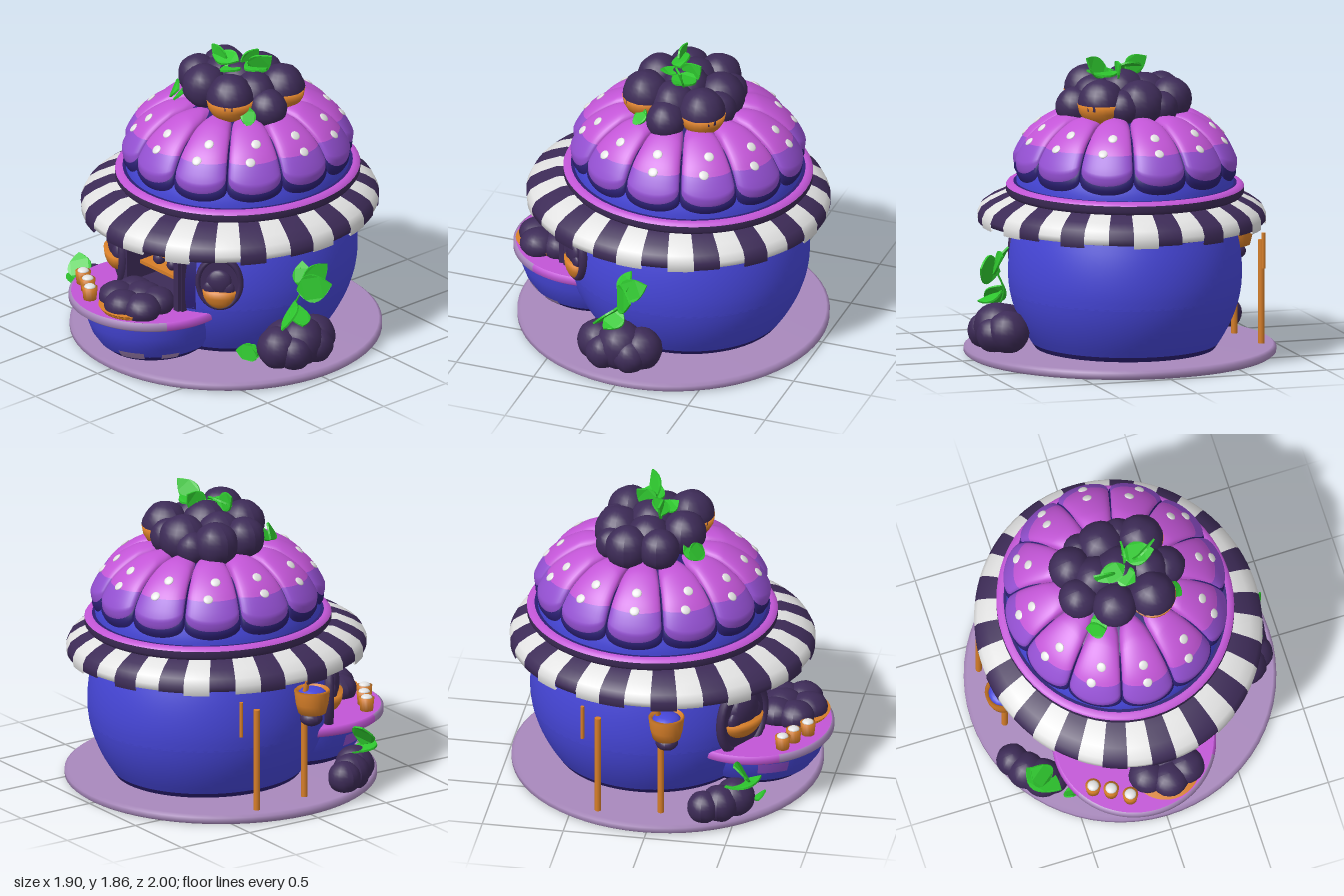
import * as THREE from 'three';

const mat = (name, color) => {
  const m = new THREE.MeshStandardMaterial({ color, side: THREE.DoubleSide });
  m.name = name;
  return m;
};
const blue = mat('blue', 0x4646d8), navy = mat('navy', 0x2b1f72), dark = mat('darkPlum', 0x3d2b57);
const lilac = mat('lilac', 0xa888bc), violet = mat('violet', 0x9450d2), magenta = mat('magenta', 0xc255d6);
const white = mat('white', 0xe2e2e2), orange = mat('orange', 0xd67e28), green = mat('green', 0x2ec62e);

const V = (x, y, z) => new THREE.Vector3(x, y, z);
const TAU = Math.PI * 2;

function add(parent, name, geo, material, x = 0, y = 0, z = 0) {
  const m = new THREE.Mesh(geo, material);
  m.name = name;
  m.position.set(x, y, z);
  parent.add(m);
  return m;
}
function group(parent, name, x = 0, y = 0, z = 0) {
  const g = new THREE.Group();
  g.name = name;
  g.position.set(x, y, z);
  parent.add(g);
  return g;
}
const lathe = (pts, seg = 64, start = 0, len = TAU) =>
  new THREE.LatheGeometry(pts.map(p => new THREE.Vector2(p[0], p[1])), seg, start, len);
const box = (p, name, m, w, h, d, x, y, z) => add(p, name, new THREE.BoxGeometry(w, h, d), m, x, y, z);

// Lumpy ball
function berry(parent, x, y, z, r, sy = 1) {
  const g = new THREE.SphereGeometry(r, 20, 14), p = g.attributes.position, v = V();
  for (let i = 0; i < p.count; i++) {
    v.fromBufferAttribute(p, i);
    const k = 1 + 0.04 * Math.sin(v.x / r * 5 + x * 9) * Math.cos(v.y / r * 5) * Math.cos(v.z / r * 5);
    p.setXYZ(i, v.x * k, v.y * k * sy, v.z * k);
  }
  g.computeVertexNormals();
  return add(parent, 'berry', g, dark, x, y, z);
}
// Round orange half bowl, closed on top
const bowl = (parent, x, y, z, r, h) =>
  add(parent, 'bowl', lathe([0, 0.3, 0.6, 0.9, 1.2, 1.57].map(a => [r * Math.sin(a), -h * Math.cos(a)]).concat([[0, 0]]), 24), orange, x, y, z);

// Pointed leaf folded along its middle, from base to tip
function leaf(parent, base, tip, width, roll = 0) {
  const dir = tip.clone().sub(base), len = dir.length();
  const s = new THREE.Shape();
  s.moveTo(0, 0);
  s.quadraticCurveTo(width * 1.2, len * 0.4, 0, len);
  s.quadraticCurveTo(-width * 1.2, len * 0.4, 0, 0);
  const g = new THREE.ExtrudeGeometry(s, { depth: 0.012, bevelEnabled: false, curveSegments: 8 });
  const p = g.attributes.position;
  for (let i = 0; i < p.count; i++)
    p.setZ(i, p.getZ(i) + Math.abs(p.getX(i)) * 0.5 - Math.sin(p.getY(i) / len * Math.PI) * len * 0.1);
  g.rotateY(roll);
  g.computeVertexNormals();
  add(parent, 'leaf', g, green, base.x, base.y, base.z).quaternion.setFromUnitVectors(V(0, 1, 0), dir.normalize());
}

// Round wall radius at height y
const wallR = y => y < 0.52 ? 0.745 - 0.17 * ((0.52 - y) / 0.46) ** 2 : 0.745 - 0.045 * ((y - 0.52) / 0.29) ** 2;
function wall(parent, name, m, y0, y1, start = 0, len = TAU) {
  const pts = [];
  for (let i = 0; i <= 8; i++) { const y = y0 + (y1 - y0) * i / 8; pts.push([wallR(y), y]); }
  add(parent, name, lathe(pts, 64, start, len), m);
}

// Dome profile, from rim to crown
const dome = new THREE.SplineCurve([[0.70, 1.05], [0.69, 1.13], [0.645, 1.25], [0.56, 1.36], [0.41, 1.45], [0.2, 1.51], [0, 1.53]]
  .map(p => new THREE.Vector2(...p)));
function domePoint(s, offset) {
  const p = dome.getPoint(s), t = dome.getTangent(s);
  return [p.x + t.y * offset, p.y - t.x * offset];
}
// Puffed icing petal with rounded ends, between fractions t0 and t1 of its length
function petal(s0, s1, puff, width, t0, t1) {
  const nu = 18, nv = 16, pos = [], idx = [];
  for (let j = 0; j <= nv; j++) for (let i = 0; i <= nu; i++) {
    const e = Math.sin((i / nu - 0.5) * Math.PI), round = Math.sqrt(Math.max(0, 1 - e * e));
    const t = t0 + (t1 - t0) * j / nv;
    const start = s0 + (1 - round) * 0.12, end = s1 - (1 - round) * 0.1;
    const lift = Math.sqrt(round) * Math.min(1, Math.sqrt(t * 7)) * Math.min(1, Math.sqrt((1 - t) * 5));
    const [r, y] = domePoint(start + (end - start) * t, 0.004 + puff * lift);
    const a = e * width * Math.PI / 12;
    pos.push(Math.sin(a) * r, y, Math.cos(a) * r);
    if (i < nu && j < nv) {
      const k = j * (nu + 1) + i;
      idx.push(k, k + 1, k + nu + 1, k + 1, k + nu + 2, k + nu + 1);
    }
  }
  const g = new THREE.BufferGeometry();
  g.setAttribute('position', new THREE.Float32BufferAttribute(pos, 3));
  g.setIndex(idx);
  g.computeVertexNormals();
  return g;
}

// Oval window with a bowl of berries, set on the wall at an angle
function ovalWindow(parent, name, phi, y, w, h) {
  const r = wallR(y);
  const g = group(parent, name, Math.sin(phi) * r * 0.95, y, -0.13 + Math.cos(phi) * r);
  g.rotation.y = phi;
  add(g, 'windowFrame', new THREE.TorusGeometry(0.9, 0.12, 10, 36), dark).scale.set(w / 2, h / 2, 0.25);
  add(g, 'windowPanel', new THREE.CircleGeometry(0.9, 32), dark, 0, 0, 0.012).scale.set(w / 2, h / 2, 1);
  const b = w * 0.36, top = 0.55 - y;
  bowl(g, 0, top, 0.012, b, 0.12).scale.z = 0.5;
  berry(g, 0, top + 0.06, 0.015, b * 0.75).scale.z = 0.45;
  for (const s of [-1, 1]) berry(g, s * b * 0.5, top + 0.02, 0.02, b * 0.42).scale.z = 0.5;
}

export function createModel() {
  const root = new THREE.Group();
  root.name = 'berryStall';

  // Ground plate
  add(root, 'basePlate', lathe([[0, 0], [0.93, 0], [0.95, 0.015], [0.95, 0.045], [0.93, 0.06], [0, 0.06]]), lilac, 0, 0, -0.035);

  // Wall with a serving hatch gap and dark strips beside it
  const body = group(root, 'body', 0, 0, -0.13);
  body.scale.x = 0.95;
  wall(body, 'wallFoot', navy, 0.06, 0.09);
  wall(body, 'lowerWall', blue, 0.09, 0.41);
  wall(body, 'middleWall', blue, 0.4, 0.8, 0.52, TAU - 1.0);
  wall(body, 'hatchSideStrip', navy, 0.4, 0.8, 0.4, 0.12);
  wall(body, 'hatchSideStrip', navy, 0.4, 0.8, -0.48, 0.19);
  wall(body, 'upperWall', navy, 0.8, 1.0);

  // Hatch recess, frame, shelves and goods
  const hatch = group(root, 'servingHatch', 0.03, 0, 0);
  box(hatch, 'backPanel', dark, 0.5, 0.46, 0.02, 0, 0.6, 0.3);
  for (const s of [-1, 1]) {
    box(hatch, 'sidePanel', dark, 0.02, 0.46, 0.28, s * 0.25, 0.6, 0.43);
    box(hatch, 'framePost', dark, 0.04, 0.44, 0.06, s * 0.235, 0.61, 0.57);
  }
  box(hatch, 'hatchFloor', dark, 0.5, 0.02, 0.28, 0, 0.4, 0.43);
  box(hatch, 'hatchCeiling', dark, 0.5, 0.02, 0.28, 0, 0.82, 0.43);
  box(hatch, 'frameTop', dark, 0.5, 0.05, 0.06, 0, 0.81, 0.57);
  box(hatch, 'shelf', orange, 0.42, 0.022, 0.12, 0, 0.535, 0.44);
  box(hatch, 'shelf', orange, 0.42, 0.022, 0.12, 0, 0.645, 0.44);
  box(hatch, 'shelfPost', orange, 0.025, 0.13, 0.12, 0.2, 0.59, 0.44);
  for (const [x, y] of [[0.07, 0.7], [-0.08, 0.69]]) {
    bowl(hatch, x, y, 0.44, 0.045, 0.045);
    berry(hatch, x, y + 0.01, 0.44, 0.036);
  }
  berry(hatch, -0.1, 0.58, 0.44, 0.04);
  berry(hatch, 0.02, 0.575, 0.44, 0.035);
  add(hatch, 'jar', new THREE.SphereGeometry(0.03, 12, 8), lilac, 0.16, 0.68, 0.44);
  leaf(hatch, V(-0.04, 0.75, 0.6), V(-0.11, 0.79, 0.61), 0.07);
  leaf(hatch, V(-0.04, 0.75, 0.6), V(0.04, 0.79, 0.61), 0.07);

  ovalWindow(root, 'largeWindow', -0.575, 0.56, 0.43, 0.52);
  ovalWindow(root, 'smallWindow', 0.726, 0.6, 0.29, 0.36);

  // Counter, its rim lilac in front and magenta at the ends
  const counter = group(root, 'counter', -0.08, 0, 0.5);
  add(counter, 'counterFoot', lathe([[0.31, 0.06], [0.36, 0.1]]), navy, 0.05).scale.x = 0.9;
  add(counter, 'counterBowl', lathe([[0.36, 0.1], [0.41, 0.17], [0.44, 0.25], [0.45, 0.32]]), blue, 0.05).scale.x = 0.9;
  // Thin painted patches on the counter bowl
  for (const [m, phi, len, pts] of [
    [lilac, 0.25, 0.45, [[0.35, 0.085], [0.366, 0.1], [0.395, 0.14]]],
    [lilac, 1.0, 0.3, [[0.35, 0.085], [0.366, 0.1], [0.385, 0.125]]],
    [violet, -1.35, 0.45, [[0.417, 0.175], [0.432, 0.21], [0.446, 0.25]]]])
    add(counter, 'bowlPatch', lathe(pts, 12, phi, len), m, 0.05).scale.x = 0.9;
  const rim = [[0, 0.32], [0.48, 0.32], [0.5, 0.335], [0.5, 0.37], [0.485, 0.38]];
  add(counter, 'rimFront', lathe(rim, 32, -1.05, 2.1), lilac);
  add(counter, 'rimEnds', lathe(rim, 48, 1.05, TAU - 2.1), magenta);
  add(counter, 'counterTop', lathe([[0.485, 0.38], [0, 0.385]]), magenta);
  const tray = group(root, 'berryTray', 0.04, 0, 0.75);
  add(tray, 'trayBowl', lathe([[0, 0.38], [0.19, 0.38], [0.21, 0.408], [0, 0.408]], 32), orange);
  for (const [x, z, r] of [[-0.12, 0.02, 0.115], [0.12, 0.03, 0.115], [0, 0.08, 0.115], [0, -0.08, 0.125], [-0.1, -0.1, 0.115], [0.1, -0.1, 0.115]])
    berry(tray, x, 0.425, z, r, 0.78);
  for (const [x, z] of [[-0.42, 0.75], [-0.32, 0.8], [-0.22, 0.87]]) {
    const cup = group(root, 'cup', x, 0.385, z);
    add(cup, 'cupBody', lathe([[0, 0], [0.04, 0], [0.048, 0.08], [0, 0.08]], 16), orange);
    add(cup, 'cream', new THREE.SphereGeometry(0.036, 12, 8), white, 0, 0.08, 0).scale.y = 0.5;
  }

  // Striped awning
  const awning = group(root, 'awning', 0, 0, -0.067);
  awning.scale.x = 0.935;
  const stripe = Math.PI / 18;
  for (let i = 0; i < 36; i++) {
    const hem = 0.825 + 0.015 * Math.sin(i * 2.3);
    const pts = [[0.915, hem + 0.01], [0.93, hem], [0.932, 0.87], [0.91, 0.915], [0.85, 0.955], [0.75, 1.0], [0.6, 1.01]];
    add(awning, 'awningStripe', lathe(pts, 3, Math.PI + (i - 0.5) * stripe, stripe), i % 2 ? white : dark);
  }

  // Roof rim, dome and petals
  const roof = group(root, 'roof', 0, 0, -0.13);
  roof.scale.x = 0.94;
  add(roof, 'roofRim', lathe([[0.6, 1.0], [0.75, 1.0], [0.765, 1.02], [0.765, 1.055]]), dark);
  add(roof, 'rimTop', lathe([[0.765, 1.055], [0.755, 1.068], [0.735, 1.075], [0.718, 1.075]]), magenta);
  add(roof, 'rimInner', lathe([[0.718, 1.075], [0.65, 1.072]]), navy);
  add(roof, 'dome', lathe(dome.getPoints(36).map(p => [p.x, p.y])), blue);
  add(roof, 'crownPatch', lathe([0.45, 0.55, 0.62, 0.7, 0.8, 0.9, 1].map(s => domePoint(s, 0.005)), 48), navy);
  const under = petal(0.13, 0.7, 0.035, 1, 0, 1);
  const low = petal(0.18, 0.8, 0.06, 0.97, 0, 0.38), high = petal(0.18, 0.8, 0.06, 0.97, 0.38, 1);
  const dotGeo = new THREE.SphereGeometry(0.031, 14, 8).scale(1, 1, 0.3);
  for (let i = 0; i < 12; i++) {
    const g = group(roof, 'petal');
    g.rotation.y = i * Math.PI / 6;
    add(g, 'petalShade', under, navy);
    add(g, 'petalTip', low, violet);
    add(g, 'petalTop', high, magenta);
    for (const side of [-1, 1]) {
      const a = i % 3 ? side * 0.04 : 0, [r, y] = domePoint(0.485 + side * 0.055, 0.064);
      add(g, 'sugarDot', dotGeo, white, Math.sin(a) * r, y, Math.cos(a) * r).rotation.x = -0.85;
    }
  }

  // Berry pile on the crown
  const pile = group(root, 'berryPile');
  for (const [x, y, z, r] of [[-0.07, 1.625, 0.08, 0.135], [0.17, 1.63, 0.08, 0.142], [-0.26, 1.6, -0.04, 0.125], [-0.25, 1.59, -0.24, 0.135],
    [-0.03, 1.58, -0.33, 0.15], [0.21, 1.6, -0.3, 0.142], [0.31, 1.55, -0.1, 0.12], [0.02, 1.62, -0.13, 0.15], [-0.13, 1.6, -0.13, 0.14],
    [0.18, 1.6, -0.1, 0.14], [-0.16, 1.56, -0.35, 0.1], [0.09, 1.57, -0.36, 0.11]])
    berry(pile, x, y, z, r);
  bowl(pile, 0.17, 1.622, 0.08, 0.145, 0.145);
  bowl(pile, 0.21, 1.597, -0.3, 0.145, 0.145);
  leaf(pile, V(-0.02, 1.74, -0.08), V(-0.16, 1.83, -0.07), 0.1);
  leaf(pile, V(0.1, 1.74, -0.14), V(0.26, 1.86, -0.18), 0.11, 0.7);
  leaf(pile, V(0.03, 1.72, -0.12), V(0.06, 1.82, -0.24), 0.11, 1.4);
  leaf(pile, V(0, 1.76, -0.08), V(0.08, 1.76, 0.02), 0.11, 0.8);
  leaf(pile, V(0.05, 1.77, -0.17), V(0.25, 1.78, -0.14), 0.13, 1.4);
  leaf(pile, V(0.05, 1.77, -0.1), V(-0.14, 1.76, -0.05), 0.1, 1.4);
  leaf(pile, V(-0.16, 1.6, 0.2), V(-0.27, 1.55, 0.14), 0.1);
  leaf(pile, V(-0.2, 1.62, 0.1), V(-0.2, 1.53, 0.22), 0.09, 0.6);
  leaf(pile, V(0.3, 1.6, 0.04), V(0.36, 1.5, 0.1), 0.08, 0.6);

  // Side planter with posts
  const planter = group(root, 'planter');
  for (const [x, z, y0, y1, r] of [[-0.81, -0.32, 0.05, 0.7, 0.02], [-0.765, 0.06, 0.05, 0.62, 0.02], [-0.79, -0.42, 0.54, 0.76, 0.012]])
    add(planter, 'post', new THREE.CylinderGeometry(r, r, y1 - y0, 10), orange, x, (y0 + y1) / 2, z);
  add(planter, 'planterBowl', lathe([[0.03, 0.58], [0.085, 0.6], [0.1, 0.66], [0.11, 0.74], [0.1, 0.75], [0.085, 0.72]], 24), orange, -0.79, 0, 0.1);
  add(planter, 'planterFill', new THREE.SphereGeometry(0.088, 16, 10), blue, -0.79, 0.72, 0.1).scale.y = 0.45;
  berry(planter, -0.78, 0.56, 0.1, 0.07, 0.7);
  add(planter, 'planterPeg', new THREE.CylinderGeometry(0.012, 0.02, 0.12, 8), orange, -0.8, 0.77, 0.05).rotation.z = 0.3;

  // Berry bushes and leaves on the ground
  const bushL = group(root, 'frontBush');
  for (const [x, y, z, r] of [[-0.66, 0.15, 0.5, 0.12], [-0.8, 0.14, 0.33, 0.1], [-0.74, 0.14, 0.42, 0.115], [-0.6, 0.13, 0.52, 0.09]])
    berry(bushL, x, y, z, r);
  leaf(bushL, V(-0.64, 0.26, 0.56), V(-0.74, 0.4, 0.5), 0.13, 0.5);
  leaf(bushL, V(-0.75, 0.27, 0.45), V(-0.59, 0.28, 0.65), 0.15, 0.4);
  leaf(bushL, V(-0.52, 0.08, 0.58), V(-0.52, 0.14, 0.66), 0.08);
  const bushR = group(root, 'sideBush');
  for (const [x, y, z, r] of [[0.76, 0.19, 0.03, 0.15], [0.73, 0.18, 0.18, 0.13], [0.74, 0.18, -0.1, 0.13], [0.81, 0.16, 0.12, 0.11], [0.81, 0.16, -0.05, 0.11], [0.69, 0.18, 0.08, 0.14]])
    berry(bushR, x, y, z, r);
  const stalk = new THREE.CatmullRomCurve3([V(0.73, 0.3, 0.1), V(0.72, 0.42, 0.04), V(0.77, 0.55, 0.02), V(0.73, 0.66, 0)]);
  add(bushR, 'stalk', new THREE.TubeGeometry(stalk, 16, 0.006, 6), green);
  leaf(bushR, V(0.74, 0.53, 0.04), V(0.91, 0.58, -0.1), 0.15, 0.6);
  leaf(bushR, V(0.77, 0.54, 0.02), V(0.71, 0.69, -0.03), 0.1, 0.9);
  leaf(bushR, V(0.77, 0.55, 0.03), V(0.79, 0.66, -0.16), 0.12, 1.2);
  leaf(bushR, V(0.74, 0.42, 0.02), V(0.87, 0.35, 0.1), 0.11, 0.8);
  leaf(bushR, V(0.72, 0.45, 0.04), V(0.78, 0.32, 0.2), 0.11, 1.0);
  leaf(bushR, V(0.62, 0.11, 0.22), V(0.46, 0.1, 0.28), 0.1, 0.5);
  leaf(bushR, V(0.56, 0.09, 0.22), V(0.59, 0.17, 0.24), 0.08);
  return root;
}
